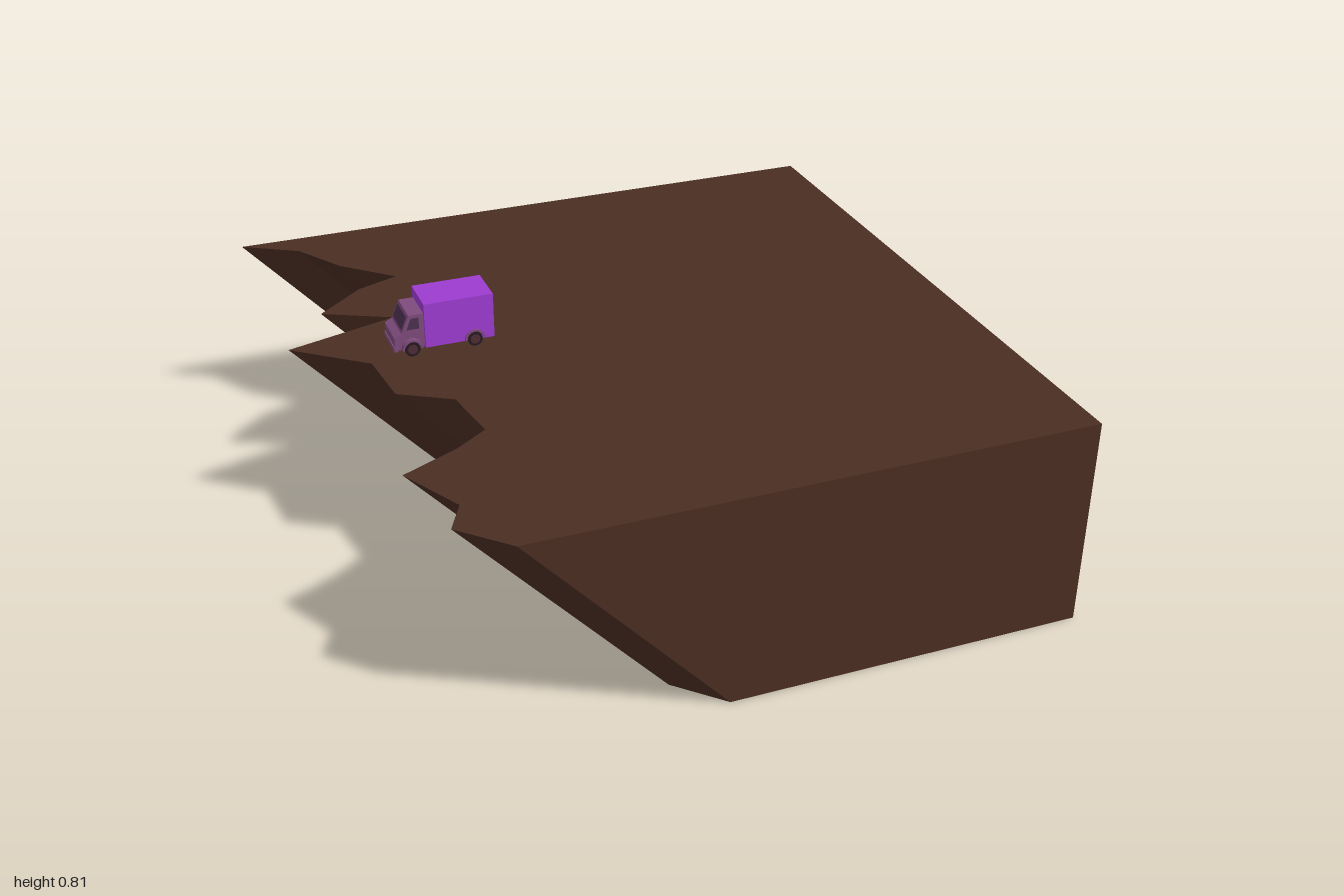
import * as THREE from 'three';

const mat = (name, color) => Object.assign(new THREE.MeshStandardMaterial({ color, flatShading: true }), { name });
const earth = mat('brown earth', 0x4a2d22);
const purple = mat('bright purple', 0x9b3bcf);
const mauve = mat('dull mauve', 0x7d4a7c);
const rubber = mat('dark rubber', 0x241820);
const hubMat = mat('brown hub', 0x4e2c34);
const glass = mat('dark glass', 0x4a3050);

const H = 0.655;      // ground height
const SLOPE = 0.59;   // how far the cliff recedes at its foot
const TRUCK_Z = -0.122;

function add(group, name, geometry, material, x = 0, y = 0, z = 0) {
  const mesh = new THREE.Mesh(geometry, material);
  mesh.name = name;
  mesh.position.set(x, y, z);
  group.add(mesh);
  return mesh;
}

const shapeOf = (pts) => new THREE.Shape(pts.map(([x, y]) => new THREE.Vector2(x, y)));
const extrude = (shape, depth) =>
  new THREE.ExtrudeGeometry(shape, { depth, bevelEnabled: false, curveSegments: 8 });

// Block of ground with a jagged, undercut edge
function cliffGeometry() {
  const edge = [
    [-1, -1], [-0.83, -0.9], [-0.73, -0.74], [-0.58, -0.6], [-0.71, -0.55], [-0.86, -0.42],
    [-0.66, -0.32], [-1, -0.22], [-0.79, -0.05], [-0.77, 0.15], [-0.62, 0.24], [-0.59, 0.43],
    [-0.69, 0.5], [-0.86, 0.58], [-0.76, 0.77], [-0.81, 0.87], [-0.68, 1], [1, 1], [1, -1],
  ];
  const geo = extrude(shapeOf(edge.map(([x, z]) => [x, -z])), H).rotateX(-Math.PI / 2);
  const p = geo.attributes.position;
  for (let i = 0; i < p.count; i++) {
    if (p.getX(i) < 0.99) p.setX(i, p.getX(i) + SLOPE * (1 - p.getY(i) / H));
  }
  geo.computeVertexNormals();
  return geo;
}

// Delivery truck: x = 0 at its nose, y = 0 on the ground, facing -x
function createTruck() {
  const truck = new THREE.Group();
  truck.name = 'truck';

  add(truck, 'cargoBox', new THREE.BoxGeometry(0.21, 0.14, 0.136), purple, 0.195, 0.09, 0);

  const cab = shapeOf([
    [0, 0.02], [0.09, 0.02], [0.09, 0.127], [0.045, 0.127], [0.022, 0.072], [0, 0.06],
  ]);
  add(truck, 'cab', extrude(cab, 0.116), mauve, 0, 0, -0.058);
  add(truck, 'bumper', new THREE.BoxGeometry(0.012, 0.014, 0.122), mauve, 0.003, 0.024, 0);

  // Windscreen lies on the sloping cab front
  const windscreen = add(truck, 'windscreen', new THREE.BoxGeometry(0.003, 0.042, 0.098), glass, 0.033, 0.1, 0);
  windscreen.rotation.z = -Math.atan2(0.023, 0.055);

  const arch = new THREE.Shape();
  arch.absarc(0, 0, 0.031, 0, Math.PI, false);
  arch.absarc(0, 0, 0.025, Math.PI, 0, true);

  for (const side of [-1, 1]) {
    const sideWindow = shapeOf([[0.038, 0.082], [0.075, 0.082], [0.075, 0.117], [0.052, 0.117]]);
    add(truck, 'sideWindow', extrude(sideWindow, 0.002), glass, 0, 0, side * 0.0585 - 0.001);

    for (const x of [0.05, 0.24]) {
      const wheel = new THREE.CylinderGeometry(0.023, 0.023, 0.022, 14).rotateX(Math.PI / 2);
      add(truck, 'wheel', wheel, rubber, x, 0.023, side * 0.06);
      const hub = new THREE.CylinderGeometry(0.015, 0.015, 0.004, 12).rotateX(Math.PI / 2);
      add(truck, 'hub', hub, hubMat, x, 0.023, side * 0.071);
      add(truck, 'wheelArch', extrude(arch, 0.022), mauve, x, 0.023, side * 0.063 - 0.011);
    }
  }
  return truck;
}

export function createModel() {
  const model = new THREE.Group();
  model.name = 'truckOnCliff';
  add(model, 'cliff', cliffGeometry(), earth);
  const truck = createTruck();
  truck.position.set(-0.715, H, TRUCK_Z);
  model.add(truck);
  return model;
}
